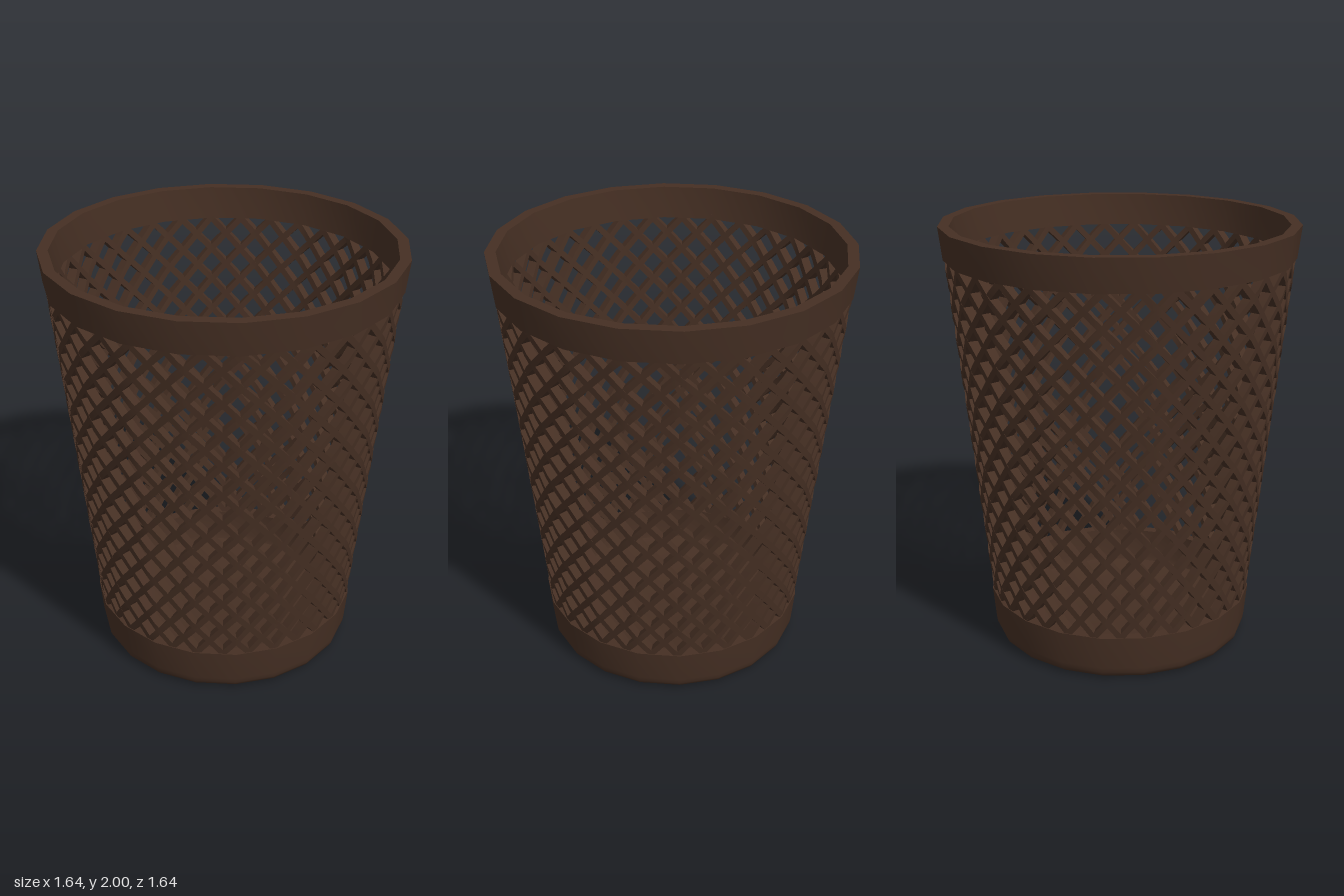
import * as THREE from 'three';
import { toCreasedNormals } from 'three/addons/utils/BufferGeometryUtils.js';

const SIDES = 20;                 // facets around the basket
const COLUMNS = 32;               // lattice cells around
const ROWS = 10.5;                // lattice cells between the bands
const LOW = 0.22, HIGH = 1.85;    // edges of the solid bands
const WALL = 0.046, STRAND = 0.029;

const outerRadius = (y) => 0.63 + (y - LOW) * (0.798 - 0.63) / (HIGH - LOW);

// Point on the faceted, tapering wall, pushed inward by depth
function wallPoint(angle, y, depth) {
  const step = 2 * Math.PI / SIDES;
  const local = angle - Math.floor(angle / step) * step - step / 2;
  const r = (outerRadius(y) - depth) * Math.cos(step / 2) / Math.cos(local);
  return [r * Math.sin(angle), y, r * Math.cos(angle)];
}

// One slanted strand with a rectangular section; dir is +1 or -1
function strandGeometry(start, dir) {
  const cell = (HIGH - LOW) / ROWS;
  const turn = dir * 2 * Math.PI / COLUMNS / cell;
  const y0 = LOW - 0.02, y1 = HIGH + 0.02, steps = 48;
  const positions = [], index = [];
  for (let i = 0; i <= steps; i++) {
    const y = y0 + (y1 - y0) * i / steps;
    const angle = start + turn * (y - LOW);
    const r = outerRadius(y);
    const len = Math.hypot(r * turn, 1);
    for (const [side, depth] of [[1, 0.002], [-1, 0.002], [-1, WALL], [1, WALL]]) {
      const w = side * STRAND / 2 / len;
      positions.push(...wallPoint(angle + w / r, y - w * r * turn, depth));
    }
    if (i === steps) continue;
    for (let k = 0; k < 4; k++) {
      const a = i * 4 + k, b = i * 4 + (k + 1) % 4;
      index.push(a, a + 4, b, b, a + 4, b + 4);
    }
  }
  const geometry = new THREE.BufferGeometry();
  geometry.setAttribute('position', new THREE.Float32BufferAttribute(positions, 3));
  geometry.setIndex(index);
  return toCreasedNormals(geometry, 0.7);
}

function turned(profile, material, name) {
  const points = profile.map(([x, y]) => new THREE.Vector2(x, y));
  const geometry = toCreasedNormals(new THREE.LatheGeometry(points, SIDES), 0.6);
  const mesh = new THREE.Mesh(geometry, material);
  mesh.name = name;
  return mesh;
}

export function createModel() {
  const group = new THREE.Group();
  group.name = 'wasteBasket';
  const brown = new THREE.MeshStandardMaterial({ color: 0x452f23, side: THREE.DoubleSide });

  // Solid base: rounded outside edge, floor and inner wall
  group.add(turned([
    [0, 0], [0.565, 0], [0.588, 0.006], [0.604, 0.018], [0.613, 0.036], [0.617, 0.06],
    [0.632, LOW], [0.582, LOW], [0.572, 0.08], [0.562, 0.058], [0.54, 0.048], [0, 0.048],
  ], brown, 'base'));

  // Rim band
  group.add(turned([
    [0.75, HIGH], [0.8, HIGH], [0.818, 2], [0.768, 2], [0.75, HIGH],
  ], brown, 'rim'));

  // Crossing strands of the lattice wall
  const lattice = new THREE.Group();
  lattice.name = 'lattice';
  for (const dir of [1, -1]) {
    const geometry = strandGeometry(0, dir);
    for (let i = 0; i < COLUMNS; i++) {
      // Half a cell of phase keeps the crossings mirrored about the front
      const start = (i + 0.5) * 2 * Math.PI / COLUMNS;
      const strand = new THREE.Mesh(i ? strandGeometry(start, dir) : strandGeometry(start, dir), brown);
      strand.name = dir > 0 ? 'leftLeaningStrand' : 'rightLeaningStrand';
      lattice.add(strand);
    }
    geometry.dispose();
  }
  group.add(lattice);
  return group;
}
